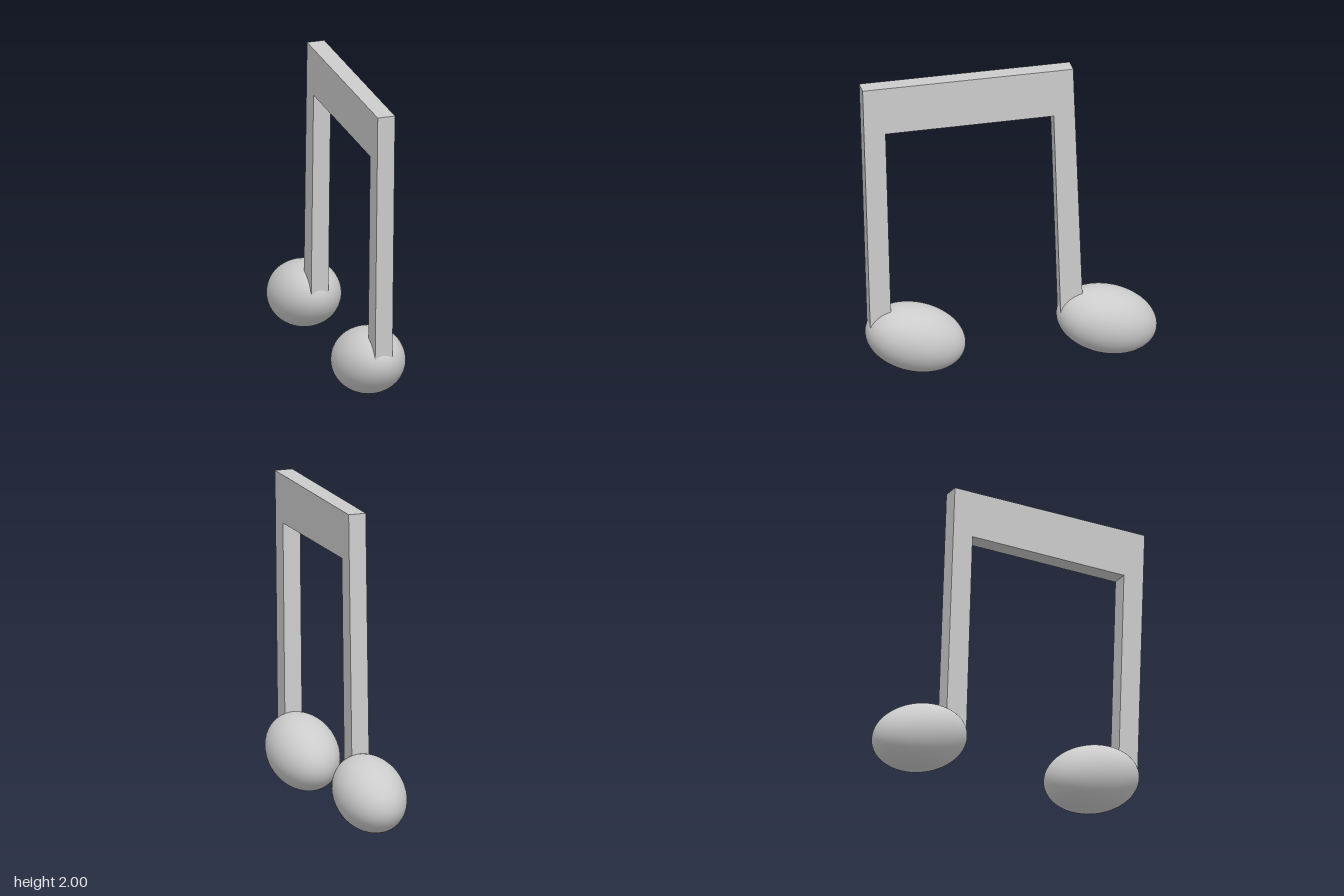
import * as THREE from 'three';

export function createModel() {
  const group = new THREE.Group();
  const material = new THREE.MeshStandardMaterial({ color: 0xcccccc });

  // Two stems joined by a beam: one side profile, in (z, y), extruded across x
  const thickness = 0.114;
  const profile = new THREE.Shape([
    [0.893, 0.3], [0.759, 0.3], [0.797, 1.657], [-0.273, 1.69],
    [-0.318, 0.3], [-0.461, 0.3], [-0.397, 2], [0.943, 1.963],
  ].map(([z, y]) => new THREE.Vector2(z, y)));
  const frameGeometry = new THREE.ExtrudeGeometry(profile, { depth: thickness, bevelEnabled: false });
  frameGeometry.translate(0, 0, -thickness / 2);
  frameGeometry.rotateY(-Math.PI / 2);
  const frame = new THREE.Mesh(frameGeometry, material);
  frame.name = 'stemsAndBeam';
  group.add(frame);

  // Smooth egg-shaped note heads, tilted up towards the front
  const headGeometry = new THREE.SphereGeometry(1, 64, 40);
  const addHead = (name, y, z) => {
    const head = new THREE.Mesh(headGeometry, material);
    head.name = name;
    head.scale.set(0.223, 0.216, 0.326);
    head.rotation.x = THREE.MathUtils.degToRad(-17);
    head.position.set(0, y, z);
    group.add(head);
  };
  addHead('frontNoteHead', 0.23, 0.597);
  addHead('backNoteHead', 0.252, -0.619);

  return group;
}
